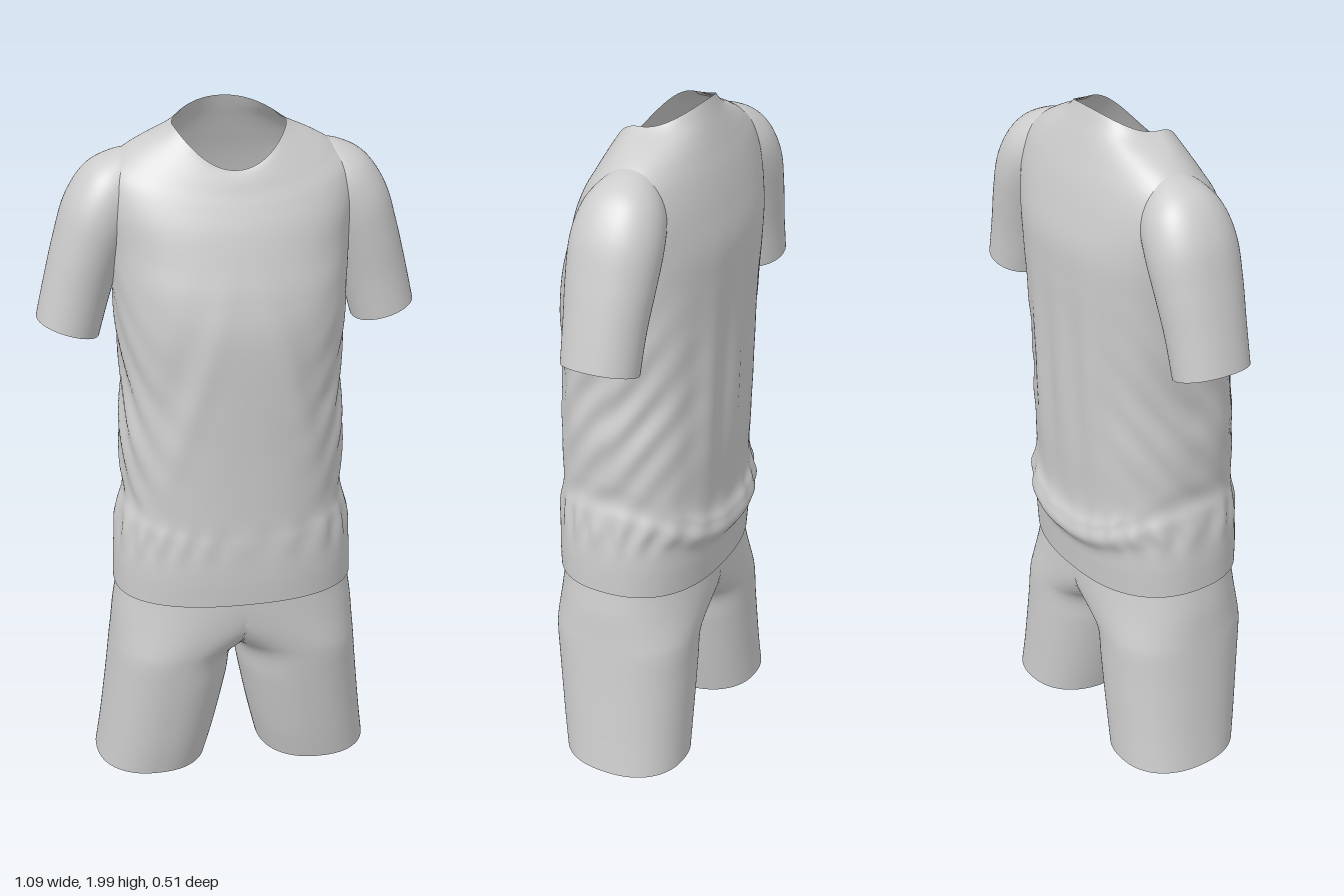
import * as THREE from 'three';

const fabric = new THREE.MeshStandardMaterial({ color: 0xcccccc, side: THREE.DoubleSide });
fabric.name = 'grey fabric';

// Catmull-Rom blend of every column in a table of cross-sections
function sampleRows(rows, t) {
  const f = t * (rows.length - 1), i = Math.min(Math.floor(f), rows.length - 2), u = f - i;
  const at = k => rows[Math.max(0, Math.min(rows.length - 1, k))];
  const [a, b, c, d] = [at(i - 1), at(i), at(i + 1), at(i + 2)];
  return b.map((_, k) => b[k] + 0.5 * u * (c[k] - a[k]
    + u * (2 * a[k] - 5 * b[k] + 4 * c[k] - d[k] + u * (3 * (b[k] - c[k]) + d[k] - a[k]))));
}

// Open tube through the cross-sections; point(row, angle) gives each vertex
function loft(name, rows, point, steps, around, side = 1, halved = false) {
  const pos = [], index = [];
  for (let i = 0; i <= steps; i++) {
    const row = sampleRows(rows, i / steps);
    for (let j = 0; j < around; j++) {
      const p = point(row, (j / around) * Math.PI * 2);
      if (halved) p[0] = Math.max(0, p[0]);
      pos.push(side * p[0], p[1], p[2]);
    }
  }
  const addFace = (a, b, c) => {
    if (halved && [a, b, c].every(v => Math.abs(pos[v * 3]) < 1e-9)) return;
    if (side > 0) index.push(a, b, c); else index.push(a, c, b);
  };
  for (let i = 0; i < steps; i++) {
    for (let j = 0; j < around; j++) {
      const a = i * around + j, b = i * around + (j + 1) % around;
      addFace(a, a + around, b);
      addFace(b, a + around, b + around);
    }
  }
  const geo = new THREE.BufferGeometry();
  geo.setAttribute('position', new THREE.Float32BufferAttribute(pos, 3));
  geo.setIndex(index);
  geo.computeVertexNormals();
  if (halved) { // smooth the centre seam
    const n = geo.attributes.normal;
    for (let i = 0; i < n.count; i++) if (Math.abs(pos[i * 3]) < 1e-9) n.setX(i, 0);
    geo.normalizeNormals();
  }
  const mesh = new THREE.Mesh(geo, fabric);
  mesh.name = name;
  return mesh;
}

const bump = (v, centre, width) => Math.exp(-(((v - centre) / width) ** 2));
const power = (v, e) => Math.sign(v) * Math.abs(v) ** e;

// Shirt body: y front, y side, y back, half width, centre z, front z, back z, squareness
const bodyRows = [
  [0.60, 0.60, 0.575, 0.352, 0.01, 0.250, -0.215, 2.4],
  [0.67, 0.69, 0.64, 0.350, 0.01, 0.253, -0.222, 2.4],
  [0.74, 0.78, 0.69, 0.342, 0.01, 0.253, -0.230, 2.4],
  [0.79, 0.84, 0.73, 0.332, 0.01, 0.252, -0.253, 2.4],
  [0.83, 0.89, 0.77, 0.318, 0.01, 0.250, -0.246, 2.4],
  [0.90, 0.96, 0.83, 0.322, 0.00, 0.249, -0.228, 2.4],
  [1.05, 1.07, 1.00, 0.322, 0.00, 0.249, -0.234, 2.4],
  [1.22, 1.22, 1.20, 0.313, -0.01, 0.252, -0.239, 2.4],
  [1.40, 1.40, 1.40, 0.326, -0.02, 0.252, -0.243, 2.4],
  [1.51, 1.53, 1.53, 0.334, -0.03, 0.236, -0.247, 2.4],
  [1.60, 1.64, 1.64, 0.345, -0.05, 0.212, -0.247, 2.3],
  [1.69, 1.75, 1.74, 0.362, -0.06, 0.184, -0.228, 2.2],
  [1.75, 1.83, 1.82, 0.350, -0.06, 0.158, -0.207, 2.1],
  [1.79, 1.88, 1.88, 0.298, -0.06, 0.138, -0.186, 2.1],
  [1.82, 1.915, 1.925, 0.240, -0.05, 0.124, -0.169, 2.1],
  [1.84, 1.94, 1.965, 0.185, -0.03, 0.112, -0.153, 2.1],
  [1.85, 1.955, 2.00, 0.158, -0.02, 0.102, -0.140, 2.1],
];
function bodyPoint([yF, yS, yB, rx, cz, zF, zB, n], a) {
  const c = Math.cos(a), s = Math.sin(a);
  const y = yS + ((s > 0 ? yF : yB) - yS) * s * s;
  let x = rx * power(c, 2 / n);
  let z = cz + (s > 0 ? zF - cz : cz - zB) * power(s, 2 / n);
  // gathers at the waist, hanging folds at the back, drape below the chest
  let d = 0.006 * bump(y, 0.79, 0.045) * Math.sin(a * 22 + 2 * Math.sin(a * 3)) * (0.35 + 0.65 * Math.abs(c));
  if (s < 0) d += 0.006 * s * s * bump(y, 1.2, 0.25) * Math.cos(x * 48);
  else {
    const lean = Math.abs(x) - 0.06 - (1.5 - y) * 0.3;
    d += s * bump(y, 1.2, 0.25) * (0.006 * bump(lean, 0, 0.035) - 0.007 * bump(lean, 0.07, 0.04));
  }
  d += 0.006 * Math.abs(c) ** 3 * bump(y, 1.15, 0.25) * Math.sin(y * 42 + s * 16);
  x += d * c;
  z += d * s;
  return [x, y, z];
}

// Sleeve: outer x, outer y, inner x, inner y, front z, back z
const sleeveRows = [
  [0.545, 1.41, 0.370, 1.355, 0.050, -0.170],
  [0.520, 1.52, 0.338, 1.47, 0.055, -0.175],
  [0.490, 1.64, 0.305, 1.57, 0.064, -0.185],
  [0.454, 1.755, 0.275, 1.64, 0.068, -0.190],
  [0.395, 1.84, 0.245, 1.69, 0.058, -0.180],
  [0.320, 1.88, 0.220, 1.72, 0.035, -0.155],
  [0.255, 1.89, 0.200, 1.76, 0.000, -0.120],
];
function sleevePoint([ox, oy, ix, iy, zF, zB], a) {
  const c = Math.cos(a), s = Math.sin(a);
  return [(ox + ix) / 2 + c * (ox - ix) / 2, (oy + iy) / 2 + c * (oy - iy) / 2,
    (zF + zB) / 2 + power(s, 0.9) * (zF - zB) / 2];
}

// Shorts leg: y, inner x, outer x, front z, back z (inner x below 0 joins the other leg)
const legRows = [
  [0.008, 0.085, 0.415, 0.160, -0.210],
  [0.10, 0.062, 0.402, 0.178, -0.208],
  [0.20, 0.040, 0.390, 0.194, -0.207],
  [0.30, 0.020, 0.379, 0.209, -0.206],
  [0.39, 0.004, 0.370, 0.221, -0.206],
  [0.44, -0.06, 0.365, 0.227, -0.206],
  [0.52, -0.22, 0.358, 0.234, -0.206],
  [0.60, -0.33, 0.346, 0.238, -0.206],
  [0.68, -0.335, 0.335, 0.236, -0.206],
];
function legPoint([y, xi, xo, zF, zB], a) {
  return [(xi + xo) / 2 + power(Math.cos(a), 0.88) * (xo - xi) / 2, y,
    (zF + zB) / 2 + power(Math.sin(a), 0.88) * (zF - zB) / 2];
}

export function createModel() {
  const model = new THREE.Group();
  model.name = 'shirt and shorts';
  const shirt = new THREE.Group();
  shirt.name = 'shirt';
  const shorts = new THREE.Group();
  shorts.name = 'shorts';
  shirt.add(loft('shirtBody', bodyRows, bodyPoint, 128, 160));
  for (const [label, side] of [['left', 1], ['right', -1]]) {
    shirt.add(loft(label + 'Sleeve', sleeveRows, sleevePoint, 36, 56, side));
    shorts.add(loft(label + 'ShortsLeg', legRows, legPoint, 48, 96, side, true));
  }
  model.add(shirt, shorts);
  return model;
}
